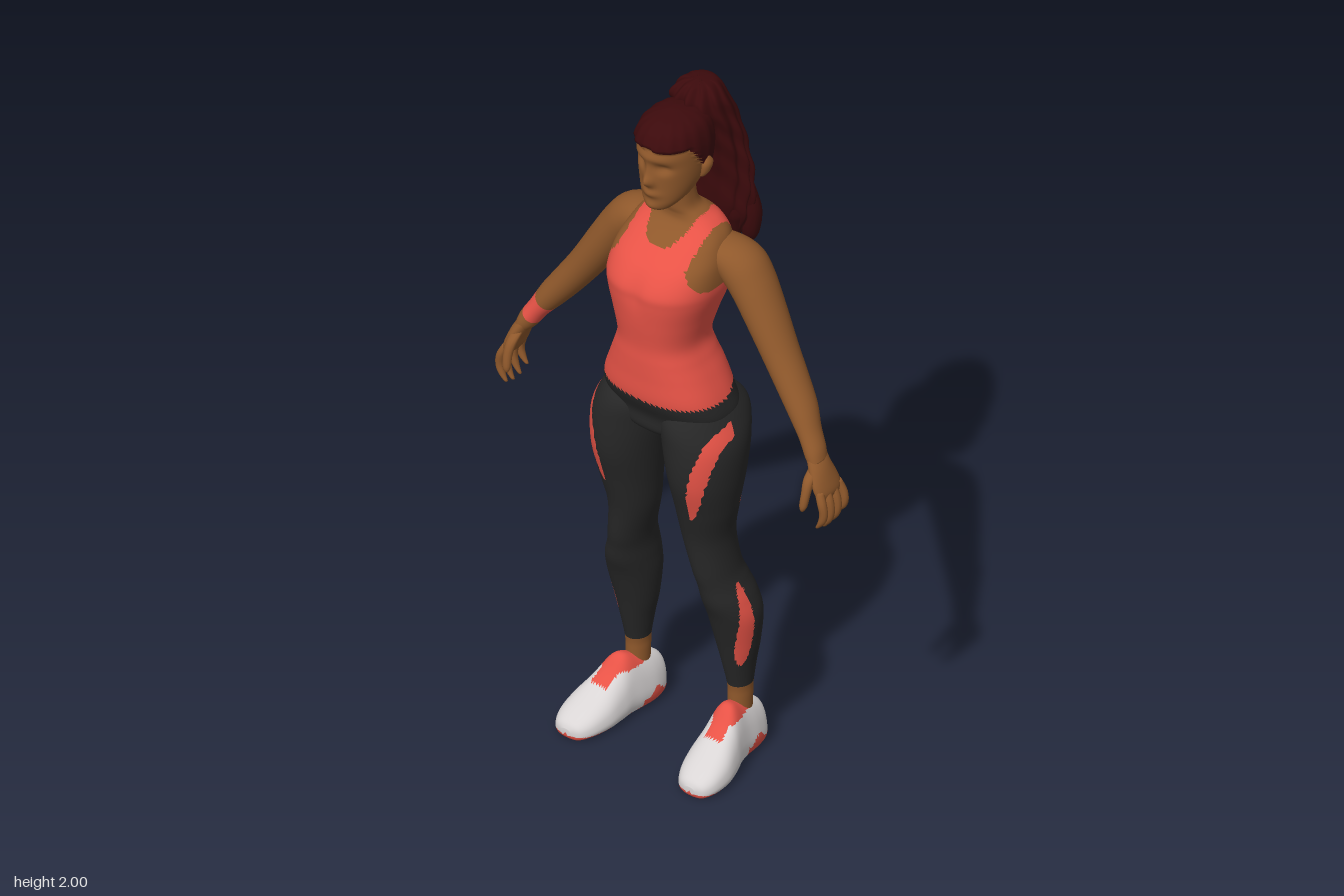
import * as THREE from 'three';

const mat = (name, color) => Object.assign(new THREE.MeshStandardMaterial({ color }), { name });
const V3 = (x, y, z) => new THREE.Vector3(x, y, z);
const bump = (a, b) => Math.exp(-(a * a + b * b));
const clamp = THREE.MathUtils.clamp;

// Smooth interpolation through rows of numbers, u from 0 to 1
function sample(rows, u) {
  const f = u * (rows.length - 1), i = Math.min(Math.floor(f), rows.length - 2), t = f - i;
  const at = k => rows[clamp(k, 0, rows.length - 1)];
  return rows[i].map((_, c) => {
    const [a, b, d, e] = [at(i - 1)[c], at(i)[c], at(i + 1)[c], at(i + 2)[c]];
    return b + 0.5 * t * (d - a + t * (2 * a - 5 * b + 4 * d - e + t * (3 * (b - d) + e - a)));
  });
}

// Skin of rounded sections; each row is [x, y, z, radius along U, radius along V].
// paint(point) picks a material index, deform(point, angle) reshapes, side -1 mirrors.
function loft(name, rows, materials, o = {}) {
  const { U = V3(1, 0, 0), V = V3(0, 0, 1), seg = 32, rings = 40, n = 2, side = 1, paint, deform } = o;
  const pts = [], first = rows[0], last = rows[rows.length - 1];
  const axis = V3(last[0] - first[0], last[1] - first[1], last[2] - first[2]);
  const flip = (U.clone().cross(V).dot(axis) < 0) !== (side < 0);
  const pw = v => Math.sign(v) * Math.abs(v) ** (2 / n);
  for (let i = 0; i <= rings; i++) {
    const [x, y, z, a, b] = sample(rows, i / rings);
    for (let j = 0; j < seg; j++) {
      const t = j / seg * Math.PI * 2;
      const p = V3(x, y, z).addScaledVector(U, a * pw(Math.cos(t))).addScaledVector(V, b * pw(Math.sin(t)));
      if (deform) deform(p, t);
      pts.push(p);
    }
  }
  const end = r => {
    const c = V3(0, 0, 0);
    for (let j = 0; j < seg; j++) c.addScaledVector(pts[r * seg + j], 1 / seg);
    return pts.push(c) - 1;
  };
  const c0 = end(0), c1 = end(rings), lists = materials.map(() => []);
  const tri = (a, b, c) => {
    const mid = pts[a].clone().add(pts[b]).add(pts[c]).divideScalar(3);
    lists[paint ? paint(mid) : 0].push(...(flip ? [a, c, b] : [a, b, c]));
  };
  for (let j = 0; j < seg; j++) {
    const k = (j + 1) % seg;
    for (let i = 0; i < rings; i++) {
      const a = i * seg + j, b = i * seg + k;
      tri(a, b, b + seg);
      tri(a, b + seg, a + seg);
    }
    tri(c0, k, j);
    tri(c1, rings * seg + j, rings * seg + k);
  }
  const g = new THREE.BufferGeometry();
  g.setAttribute('position', new THREE.Float32BufferAttribute(pts.flatMap(p => [p.x * side, p.y, p.z]), 3));
  g.setIndex(lists.flat());
  let start = 0;
  lists.forEach((l, m) => { if (l.length) g.addGroup(start, l.length, m); start += l.length; });
  g.computeVertexNormals();
  const mesh = new THREE.Mesh(g, materials);
  mesh.name = name;
  return mesh;
}

export function createModel() {
  const model = new THREE.Group();
  model.name = 'athlete';
  const skin = mat('skin', 0x8f582b), coral = mat('coral', 0xf2574a), black = mat('leggings black', 0x272727);
  const hair = mat('dark red hair', 0x3c0a0c), white = mat('shoe white', 0xd9d5d5);
  const add = (...args) => model.add(loft(...args));

  // Torso: pelvis, tank top with arm holes and scooped neck, bare neck
  add('torso', [
    [0, .985, .04, .04, .05], [0, 1.02, .03, .13, .11], [0, 1.07, .025, .183, .122], [0, 1.13, .042, .176, .13],
    [0, 1.2, .05, .15, .125], [0, 1.25, .058, .129, .118], [0, 1.3, .062, .115, .114], [0, 1.37, .055, .129, .13],
    [0, 1.44, .045, .15, .147], [0, 1.48, .04, .155, .15], [0, 1.53, .022, .152, .135], [0, 1.57, 0, .14, .108],
    [0, 1.6, -.015, .125, .082], [0, 1.625, -.02, .1, .064], [0, 1.645, -.012, .072, .052],
    [0, 1.665, 0, .052, .045], [0, 1.7, .008, .046, .042], [0, 1.76, .015, .046, .045],
  ], [skin, coral, black], {
    seg: 72, rings: 110, n: 2.4,
    deform: p => { // spine groove and soft chest
      if (p.z < 0) p.z += .014 * bump(p.x / .03, (p.y - 1.36) / .14);
      else p.z -= .008 * bump(p.x / .025, (p.y - 1.47) / .05);
    },
    paint: p => {
      const x = Math.abs(p.x);
      if (p.y < 1.13 + .25 * clamp(.04 - p.z, 0, .15)) return 2;
      const neck = (p.z > -.02 ? 1.575 : 1.605) + .05 * (x / .065) ** 4;
      const hole = .16 - .052 * clamp((p.y - 1.47) / .07, 0, 1);
      return p.y < 1.645 && p.y < neck && (p.y < 1.47 || x < hole) ? 1 : 0;
    },
  });

  // Head with brow, nose, lips and a close hair cap
  const isHair = p => p.y > (p.z > .06 ? 1.885 + .2 * Math.max(0, .03 - Math.abs(p.x))
    : p.z > 0 ? 1.8 + 1.45 * p.z : 1.8 + 1.2 * Math.max(p.z, -.07));
  add('head', [
    [0, 1.69, .085, .012, .014], [0, 1.697, .08, .032, .034], [0, 1.715, .066, .05, .055], [0, 1.74, .047, .065, .075],
    [0, 1.78, .03, .077, .094], [0, 1.83, .025, .083, .102], [0, 1.88, .025, .083, .104],
    [0, 1.92, .022, .071, .09], [0, 1.942, .02, .046, .06], [0, 1.952, .02, .01, .012],
  ], [skin, hair], {
    seg: 64, rings: 80, n: 2.15,
    paint: p => (isHair(p) ? 1 : 0),
    deform: (p, t) => {
      const x = Math.abs(p.x);
      if (p.z > .06) {
        p.z += .022 * bump(x / .014, (p.y - 1.79) / .018) + .008 * bump(x / .011, (p.y - 1.82) / .025)
          + .010 * bump(x / .024, (p.y - 1.75) / .012) + .006 * bump(x / .02, (p.y - 1.708) / .012)
          - .014 * bump((x - .036) / .02, (p.y - 1.832) / .014) + .005 * bump(x / .06, (p.y - 1.862) / .012);
      }
      if (isHair(p)) {
        const k = 1.1 + .02 * Math.sin(t * 16);
        p.set(p.x * k, 1.84 + (p.y - 1.84) * 1.08, .02 + (p.z - .02) * k);
      }
    },
  });

  // Ponytail: ridged mass plus loose locks at its end
  add('ponytail', [
    [0, 2, -.078, .01, .012], [0, 1.99, -.08, .045, .048], [0, 1.95, -.08, .073, .07], [0, 1.88, -.108, .088, .068],
    [0, 1.8, -.13, .1, .06], [0, 1.7, -.146, .112, .05], [0, 1.6, -.152, .108, .046],
    [0, 1.53, -.163, .088, .038], [0, 1.49, -.168, .06, .028],
  ], [hair], {
    seg: 84, rings: 80,
    deform: (p, t) => {
      const k = 1 + .06 * Math.sin(t * 11 + p.y * 22) + .03 * Math.sin(t * 5 - p.y * 60);
      p.x *= k;
      p.z = -.13 + (p.z + .13) * k;
    },
  });
  for (let i = 0; i < 8; i++) {
    const x = -.085 + i * .0243, dy = .022 * Math.sin(i * 2.4), z = -.165 + .02 * Math.cos(i * 2.1);
    add('hairLock', [[x, 1.66, z + .01, .018, .02], [x * 1.1, 1.58, z, .026, .026],
      [x * .98, 1.52 + dy, z - .006, .024, .022], [x * .9, 1.472 + dy * .4, z - .012, .006, .006]],
    [hair], { seg: 10, rings: 14 });
  }

  for (const side of [1, -1]) {
    const tag = side > 0 ? 'left' : 'right';

    add(tag + 'Ear', [[.078, 1.775, .005, .006, .008], [.085, 1.79, .002, .01, .014],
      [.088, 1.815, -.003, .012, .019], [.084, 1.835, -.004, .006, .008]], [skin], { side, seg: 12, rings: 12 });

    // Arm, with a wristband on the right
    add(tag + 'Arm', [
      [.08, 1.565, -.03, .035, .045], [.13, 1.548, -.032, .055, .063], [.175, 1.52, -.035, .061, .07],
      [.215, 1.475, -.033, .058, .068], [.262, 1.405, -.026, .053, .062], [.32, 1.315, -.016, .046, .054],
      [.368, 1.247, -.006, .042, .049], [.412, 1.188, .006, .037, .044], [.445, 1.14, .02, .029, .036],
      [.47, 1.1, .03, .027, .034], [.485, 1.075, .036, .02, .03],
    ], [skin, coral], {
      side, U: V3(.77, .64, 0), seg: 32, rings: 80,
      paint: p => {
        const d = (p.x - .447) * .64 - (p.y - 1.145) * .77;
        return side < 0 && Math.abs(d) < .034 ? 1 : 0;
      },
    });

    // Hand: palm, four curled fingers and a forward thumb
    add(tag + 'Palm', [[.462, 1.115, .026, .02, .028], [.485, 1.075, .035, .023, .036], [.503, 1.035, .036, .021, .047],
      [.514, 1.005, .034, .018, .048], [.518, .985, .032, .01, .04]], [skin], { side, seg: 24, rings: 20 });
    for (let f = 0; f < 4; f++) {
      const z = -.003 + f * .024, k = [.8, .97, 1, .9][f], fan = (f - 1.5) * .004;
      add(tag + 'Finger', [[.513, 1.015, z, .012, .012], [.527, .985, z + fan, .0125, .0125],
        [.533, .985 - .035 * k, z + fan, .0115, .011], [.527, .985 - .065 * k, z + fan, .0105, .01],
        [.512, .985 - .09 * k, z + fan, .005, .005]], [skin], { side, seg: 10, rings: 14 });
    }
    add(tag + 'Thumb', [[.485, 1.07, .05, .014, .014], [.488, 1.045, .078, .015, .015], [.49, 1.01, .094, .0125, .0125],
      [.488, .975, .102, .011, .01], [.486, .96, .104, .004, .004]], [skin], { side, seg: 12, rings: 14 });

    // Leg: legging with coral flashes, bare ankle
    const flash = (y, mid, half, w) => w * Math.sqrt(Math.max(0, 1 - ((y - mid) / half) ** 2));
    add(tag + 'Leg', [
      [.09, 1.13, .03, .07, .08], [.098, 1.07, .022, .098, .132], [.116, 1, .036, .106, .128], [.125, .9, .045, .095, .115],
      [.125, .8, .043, .08, .092], [.122, .7, .033, .064, .078], [.138, .6, .022, .054, .077], [.148, .55, .008, .056, .08],
      [.158, .5, -.005, .065, .083], [.165, .44, -.02, .07, .076], [.166, .35, -.03, .058, .061],
      [.167, .28, -.034, .043, .05], [.168, .21, -.037, .032, .038], [.168, .17, -.037, .031, .036], [.168, .1, -.035, .03, .035],
    ], [black, coral, skin], {
      side, seg: 72, rings: 130,
      paint: ({ x, y, z }) => {
        if (y < .212) return 2;
        const frontThigh = z > .035 && Math.abs(x - .145 - .22 * (y - .8)) < flash(y, .94, .15, .02);
        const backThigh = z < .02 && Math.abs(x - .185 + .28 * (y - .82)) < flash(y, .895, .1, .016);
        const calf = x > .16 && Math.abs(z - .008 - .05 * (y - .42)) < flash(y, .425, .135, .021);
        return frontThigh || backThigh || calf ? 1 : 0;
      },
    });

    // Running shoe, toe turned slightly out
    const mid = z => .173 + .16 * z;
    add(tag + 'Shoe', [
      [.165, .06, -.107, .018, .035], [.166, .068, -.1, .042, .062], [.167, .076, -.06, .054, .076],
      [.171, .085, -.01, .057, .085], [.178, .09, .03, .061, .09], [.186, .07, .07, .067, .07],
      [.194, .052, .12, .07, .052], [.2, .037, .17, .06, .037], [.203, .026, .203, .04, .025], [.204, .024, .214, .014, .01],
    ], [white, coral], {
      side, V: V3(0, 1, 0), seg: 56, rings: 60, n: 2.5,
      deform: p => {
        const c = mid(p.z);
        p.x = c + (p.x - c) * clamp(1.12 - 2.8 * p.y, .6, 1.08);
        p.y = Math.max(p.y, .006) - .006;
      },
      paint: p => {
        const tongue = p.z > -.01 && p.z < .1 && p.y > .085 && Math.abs(p.x - mid(p.z)) < .026;
        const heel = p.z < -.005 && p.y < .045 + .012 * Math.sin(p.z * 90);
        return tongue || heel || p.y < .012 || (p.y > .138 && p.z > -.06) ? 1 : 0;
      },
    });
  }
  return model;
}
